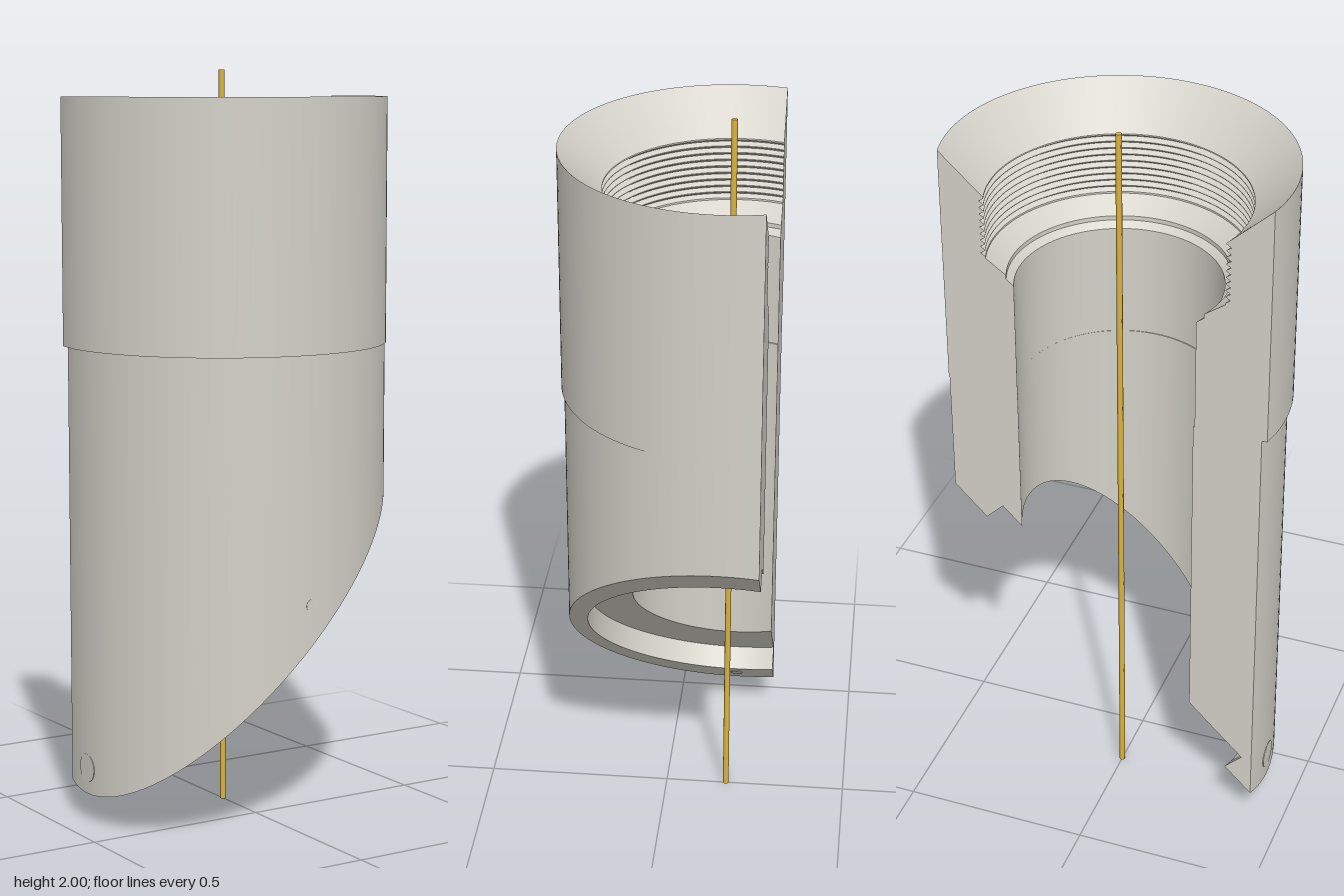
import * as THREE from 'three';

const AXIS_Z = -0.168;  // tube axis
const CUT = -0.108;     // sectioning plane, relative to the axis
const SEGMENTS = 96;

// An arc around the axis that starts and ends on the sectioning plane.
function arc(rx, y, cx = 0, rz = rx) {
  const end = Math.acos(CUT / rz);
  return (u) => {
    const x = cx + rx * Math.sin(u * end);
    return new THREE.Vector3(x, typeof y === 'function' ? y(x) : y, AXIS_Z + rz * Math.cos(u * end));
  };
}

// Smooth band of surface between two arcs.
function band(from, to) {
  const points = [], index = [];
  for (let i = 0; i <= SEGMENTS; i++) {
    const u = (i / SEGMENTS) * 2 - 1;
    points.push(from(u), to(u));
    if (i < SEGMENTS) {
      const a = 2 * i;
      index.push(a, a + 1, a + 2, a + 2, a + 1, a + 3);
    }
  }
  const g = new THREE.BufferGeometry().setFromPoints(points);
  g.setIndex(index);
  g.computeVertexNormals();
  return g;
}

// Flat section face closing the profile at one end of the arcs, facing -z.
function sectionFace(profile, u) {
  const outline = profile.map((curve) => {
    const p = curve(u);
    return new THREE.Vector2(p.x, p.y);
  });
  const g = new THREE.ShapeGeometry(new THREE.Shape(outline));
  g.index.array.reverse();
  g.translate(0, 0, AXIS_Z + CUT);
  g.computeVertexNormals();
  return g;
}

export function createModel() {
  const grey = new THREE.MeshStandardMaterial({ color: 0xd3d1c8 });
  const gold = new THREE.MeshStandardMaterial({ color: 0xe0b840 });
  grey.name = 'warm light grey';
  gold.name = 'gold';

  const model = new THREE.Group();
  const add = (parent, name, geometry, material) => {
    const mesh = new THREE.Mesh(geometry, material);
    mesh.name = name;
    parent.add(mesh);
    return mesh;
  };

  // Slanted end face and the parallel floor of its oval recess
  const face = (x) => x + 0.508;
  const floor = (x) => x + 0.602;

  // Outside, slanted end, then the bore upwards
  const profile = [
    arc(0.442, 1.93),
    arc(0.442, 1.275),
    arc(0.434, 1.275, 0.006),
    arc(0.434, face, 0.006),
    arc(0.353, face, 0, 0.385),
    arc(0.353, floor, -0.047, 0.385),
    arc(0.26, floor, 0.002),
    arc(0.26, 1.275, 0.002),
    arc(0.262, 1.275),
    arc(0.262, 1.585),
    arc(0.28, 1.6),
    arc(0.28, 1.612),
    arc(0.33, 1.65),
  ];
  // Thread grooves
  const teeth = 9, bottom = 1.655, pitch = 0.165 / teeth;
  for (let i = 0; i < teeth; i++) {
    const y = bottom + i * pitch;
    profile.push(arc(0.33, y), arc(0.342, y + pitch * 0.45), arc(0.33, y + pitch * 0.9));
  }
  // Foot of the flared mouth, which closes back to the rim
  profile.push(arc(0.33, 1.822));

  const body = new THREE.Group();
  body.name = 'sectionedTube';
  model.add(body);
  profile.forEach((curve, i) => {
    add(body, 'tubeSurface' + i, band(curve, profile[(i + 1) % profile.length]), grey);
  });
  add(body, 'sectionFaceRight', sectionFace(profile, -1), grey);
  add(body, 'sectionFaceLeft', sectionFace(profile, 1), grey);

  // Small plugged holes, as thin plates
  const hole = (name, radius, position, normal) => {
    const disc = add(model, name, new THREE.CylinderGeometry(radius, radius, 0.004, 24), grey);
    disc.position.set(...position);
    disc.quaternion.setFromUnitVectors(new THREE.Vector3(0, 1, 0), new THREE.Vector3(...normal).normalize());
  };
  hole('frontHole', 0.018, [0.005, 0.62, 0.2645], [0, 0, 1]);
  hole('sideHole', 0.038, [-0.4265, 0.15, AXIS_Z], [-1, 0, 0]);
  hole('endFaceHole', 0.018, [-0.384, 0.124, AXIS_Z], [1, -1, 0]);

  // Pin reaching into the recess
  const pin = add(model, 'recessPin', new THREE.CylinderGeometry(0.011, 0.011, 0.055, 16), grey);
  pin.rotation.x = Math.PI / 2;
  pin.position.set(0.005, 0.613, 0.188);

  // Centre line rod
  const rod = add(model, 'axisRod', new THREE.CylinderGeometry(0.008, 0.008, 2, 6), gold);
  rod.position.set(0, 1, AXIS_Z);

  return model;
}
